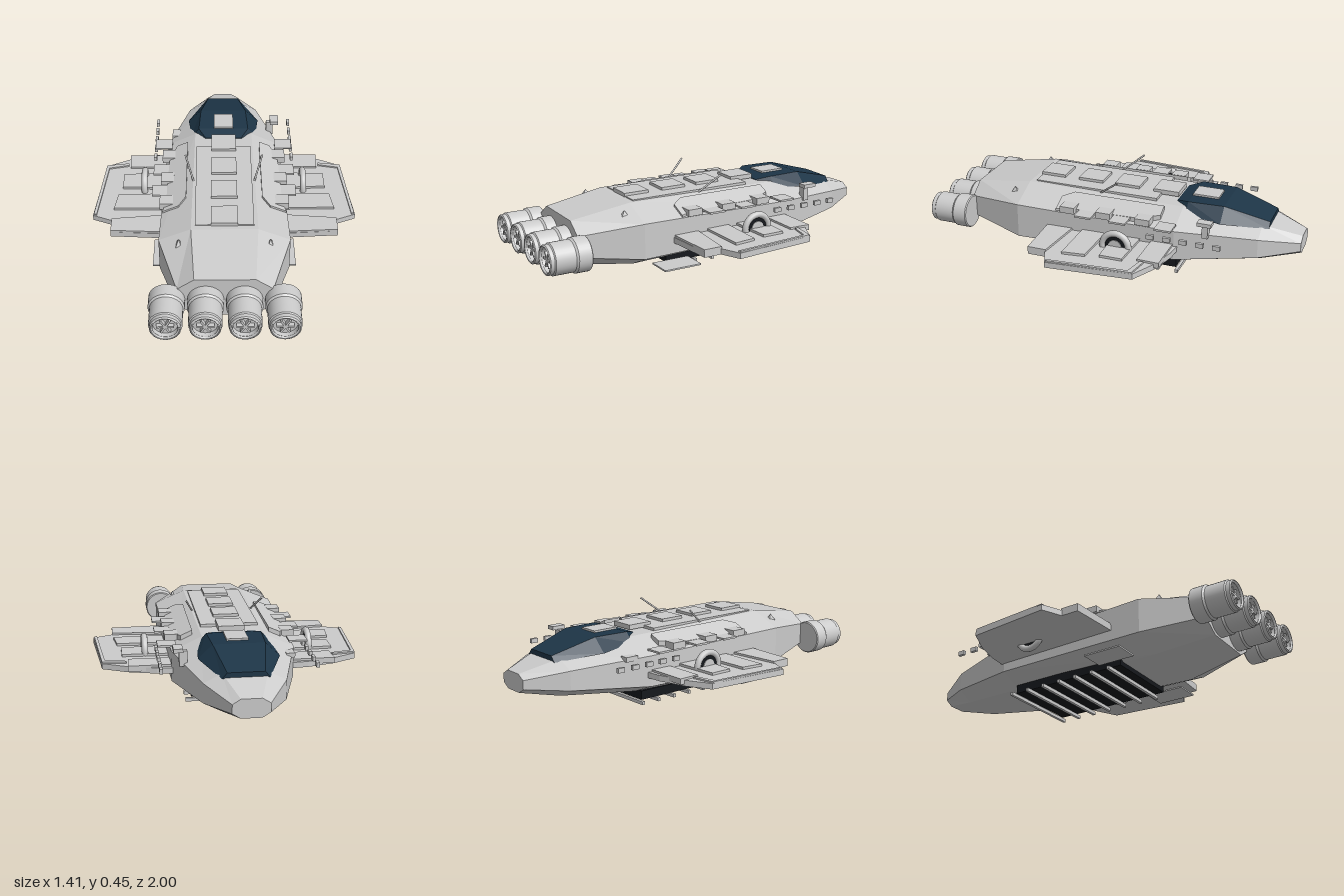
import * as THREE from 'three';

const grey = new THREE.MeshStandardMaterial({ color: 0xcccccc, flatShading: true, side: THREE.DoubleSide });
const smooth = new THREE.MeshStandardMaterial({ color: 0xcccccc });
const glass = new THREE.MeshStandardMaterial({ color: 0x1d3547, flatShading: true });
const dark = new THREE.MeshStandardMaterial({ color: 0x15181c });

// Skin a list of equal-length rings (counterclockwise seen from +z, z increasing) and cap both ends
function loft(rings) {
  const out = [];
  const tri = (...p) => p.forEach(v => out.push(...v));
  const n = rings[0].length;
  for (let i = 0; i < rings.length - 1; i++) {
    for (let j = 0; j < n; j++) {
      const k = (j + 1) % n, a = rings[i], b = rings[i + 1];
      tri(a[j], a[k], b[k]);
      tri(a[j], b[k], b[j]);
    }
  }
  const first = rings[0], last = rings[rings.length - 1];
  for (let j = 1; j < n - 1; j++) {
    tri(first[0], first[j + 1], first[j]);
    tri(last[0], last[j], last[j + 1]);
  }
  const g = new THREE.BufferGeometry();
  g.setAttribute('position', new THREE.Float32BufferAttribute(out, 3));
  g.computeVertexNormals();
  return g;
}

// Flat plate from a plan outline of [x, z] points
function plate(points, top, thick) {
  const shape = new THREE.Shape(points.map(([x, z]) => new THREE.Vector2(x, z)));
  const g = new THREE.ExtrudeGeometry(shape, { depth: thick, bevelEnabled: false });
  return g.rotateX(Math.PI / 2).translate(0, top, 0);
}

export function createModel() {
  const model = new THREE.Group();
  model.name = 'spaceship';
  const add = (name, geo, mat = grey, parent = model) => {
    const m = new THREE.Mesh(geo, mat);
    m.name = name;
    parent.add(m);
    return m;
  };
  // Box given by its extents on each axis
  const box = (name, x0, x1, y0, y1, z0, z1, mat = grey, parent = model) =>
    add(name, new THREE.BoxGeometry(Math.abs(x1 - x0), y1 - y0, z1 - z0)
      .translate((x0 + x1) / 2, (y0 + y1) / 2, (z0 + z1) / 2), mat, parent);

  // Hull: z, half widths of bottom, side and top, then heights of bottom, lower side, upper side and top
  const hull = [
    [-1, 0.05, 0.09, 0.05, 0.14, 0.165, 0.21, 0.235],
    [-0.8, 0.11, 0.2, 0.11, 0.1, 0.145, 0.245, 0.29],
    [-0.39, 0.18, 0.315, 0.16, 0.06, 0.115, 0.275, 0.348],
    [0.48, 0.19, 0.335, 0.17, 0.038, 0.105, 0.29, 0.36],
    [0.8, 0.14, 0.235, 0.15, 0.08, 0.14, 0.25, 0.31],
  ].map(([z, b, w, t, y0, y1, y2, y3]) => [
    [-b, y0, z], [b, y0, z], [w, y1, z], [w, y2, z], [t, y3, z], [-t, y3, z], [-w, y2, z], [-w, y1, z]]);
  add('hull', loft(hull));

  // Canopy: z, half width, top half width, rim height, top height
  const canopy = [
    [-0.835, 0.115, 0.09, 0.275, 0.305],
    [-0.6, 0.203, 0.13, 0.3, 0.37],
    [-0.41, 0.183, 0.14, 0.32, 0.37],
    [-0.34, 0.11, 0.1, 0.335, 0.352],
  ].map(([z, w, t, y0, y1]) => [[-w, y0, z], [w, y0, z], [t, y1, z], [-t, y1, z]]);
  add('canopy', loft(canopy), glass);

  // Dorsal deck and the row of hatches along the spine
  box('dorsalDeck', -0.15, 0.15, 0.34, 0.365, -0.24, 0.45);
  [0.385, 0.165, -0.045, -0.265, -0.48].forEach(z =>
    box('spineHatch', -0.068 + (z < -0.4 ? 0.013 : 0), 0.068 - (z < -0.4 ? 0.013 : 0), 0.355, 0.38, z - 0.07, z + 0.07));

  // Belly grille with cross bars
  box('bellyGrille', -0.215, 0.215, 0.018, 0.065, -0.375, 0.295, dark);
  for (let i = 0; i < 7; i++) {
    const z = 0.235 - i * 0.1033;
    box('grilleBar', -0.245, 0.245, 0, 0.018, z - 0.008, z + 0.008);
  }

  // Engines
  const casing = [[0, 0.78], [0.085, 0.78], [0.09, 0.785], [0.09, 0.855], [0.082, 0.865], [0.082, 0.97],
    [0.076, 0.975], [0.076, 0.995], [0.07, 1], [0.063, 0.99], [0.06, 0.965], [0, 0.965]]
    .flatMap(p => [p, p]).map(([r, z]) => new THREE.Vector2(r, z));
  for (let i = 0; i < 4; i++) {
    const engine = new THREE.Group();
    engine.name = 'engine';
    engine.position.set(-0.285 + i * 0.19, 0.18, 0);
    model.add(engine);
    // Lathe is turned so that its axis runs along z
    add('engineCasing', new THREE.LatheGeometry(casing, 32).rotateX(Math.PI / 2),
      new THREE.MeshStandardMaterial({ color: 0xcccccc, side: THREE.DoubleSide }), engine);
    add('nozzleRing', new THREE.TorusGeometry(0.066, 0.006, 8, 32).translate(0, 0, 0.992), smooth, engine);
    for (let k = 0; k < 3; k++) {
      add('fanBlade', new THREE.BoxGeometry(0.085, 0.01, 0.025).rotateZ(k * Math.PI / 3).translate(0, 0, 0.975), grey, engine);
    }
  }

  // Mirrored parts
  for (const s of [1, -1]) {
    const side = new THREE.Group();
    side.name = s > 0 ? 'leftSide' : 'rightSide';
    model.add(side);
    const flat = (name, pts, top, thick) =>
      add(name, plate(pts.map(([x, z]) => [s * x, z]), top, thick), grey, side);
    const sideBox = (name, x0, x1, ...rest) => box(name, s * x0, s * x1, ...rest, grey, side);

    // Wing with its raised panels
    flat('wing', [[0.28, -0.41], [0.39, -0.4], [0.535, -0.36], [0.665, -0.295], [0.705, 0.155],
      [0.6, 0.2], [0.6, 0.295], [0.28, 0.315]], 0.192, 0.03);
    flat('wingFrontPanel', [[0.3, -0.385], [0.535, -0.385], [0.53, -0.27], [0.3, -0.27]], 0.203, 0.03);
    flat('wingMidPanel', [[0.3, -0.21], [0.56, -0.2], [0.56, -0.08], [0.3, -0.07]], 0.205, 0.02);
    flat('wingRearPanel', [[0.3, -0.02], [0.58, -0.01], [0.595, 0.11], [0.3, 0.11]], 0.205, 0.02);
    flat('wingFlap', [[0.3, 0.165], [0.6, 0.195], [0.6, 0.295], [0.3, 0.31]], 0.203, 0.02);
    flat('wingTipStrip', [[0.54, -0.31], [0.665, -0.29], [0.7, 0.15], [0.685, 0.155], [0.65, -0.265], [0.54, -0.29]], 0.2, 0.02);

    // Upright ring set through the wing
    const ring = new THREE.Group();
    ring.name = 'wingRing';
    ring.position.set(s * 0.438, 0.203, -0.12);
    ring.rotation.y = Math.PI / 2;
    side.add(ring);
    add('ringRim', new THREE.TorusGeometry(0.07, 0.017, 12, 32), smooth, ring);
    add('ringCore', new THREE.CylinderGeometry(0.056, 0.056, 0.012, 24).rotateX(Math.PI / 2), dark, ring);
    add('ringHub', new THREE.CylinderGeometry(0.036, 0.036, 0.02, 24).rotateX(Math.PI / 2), smooth, ring);

    // Armour strip lying on the shoulder slope
    const strip = [[-0.3, 0.2, 0.26], [-0.2, 0.2, 0.3], [0.2, 0.2, 0.31], [0.26, 0.24, 0.325]]
      .map(([z, x0, x1]) => {
        const h = x => 0.362 - (x - 0.165) * 0.44;
        const r = [[x0, h(x0) - 0.02, z], [x1, h(x1) - 0.02, z], [x1, h(x1) + 0.008, z], [x0, h(x0) + 0.008, z]];
        return s > 0 ? r : r.map(([x, y, w]) => [-x, y, w]).reverse();
      });
    add('shoulderArmour', loft(strip), grey, side);

    // Shoulder pods, floating chips and lower fin
    [-0.35, -0.105, 0.085].forEach(z => sideBox('shoulderPod', 0.29, 0.385, 0.298, 0.308, z - 0.045, z + 0.045));
    [-0.225, -0.01, 0.19].forEach(z => sideBox('shoulderBlock', 0.27, 0.34, 0.29, 0.325, z - 0.04, z + 0.04));
    for (let i = 0; i < 5; i++) {
      const z = -0.635 + i * 0.087;
      sideBox('sideChip', 0.377, 0.393, 0.248, 0.272, z - 0.02, z + 0.02);
    }
    sideBox('lowerFin', 0.24, 0.378, 0.034, 0.042, 0.18, 0.39);

    // Antenna
    const rod = new THREE.LineCurve3(new THREE.Vector3(s * 0.163, 0.355, 0.068), new THREE.Vector3(s * 0.207, 0.445, -0.045));
    add('antenna', new THREE.TubeGeometry(rod, 1, 0.005, 8), smooth, side);

    // Rear deck spike
    add('rearSpike', new THREE.ConeGeometry(0.04, 0.07, 4).rotateY(Math.PI / 4)
      .scale(1, 1, 1.5).translate(s * 0.23, 0.31, 0.54), grey, side);
  }

  // Sensor box on one shoulder and a small bump on the other
  box('sensorBox', 0.272, 0.32, 0.328, 0.348, -0.585, -0.51);
  box('sensorStalk', 0.25, 0.29, 0.25, 0.33, -0.56, -0.53);
  box('sideBump', -0.295, -0.25, 0.26, 0.285, -0.53, -0.46);

  return model;
}
